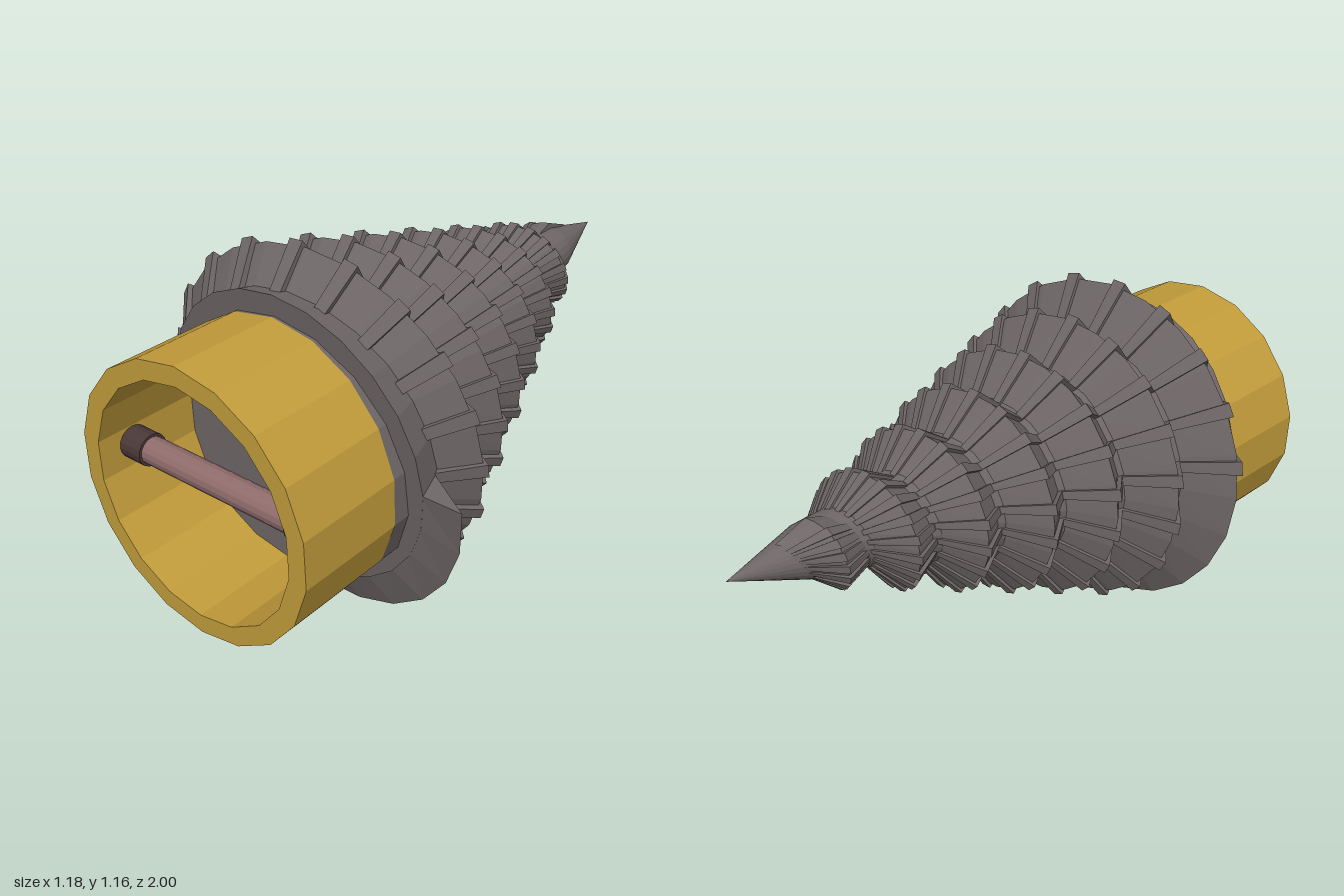
import * as THREE from 'three';

const TURN = Math.PI * 2;
const PITCH = 0.2;
const TURNS = 6.75;
const mat = (color) => new THREE.MeshStandardMaterial({ color, flatShading: true });

// Radii along the drill axis; a is the distance from the base towards the tip.
const coreRadius = (a) => (a < 1.2 ? 0.475 - 0.3125 * a : 0.1 - 0.125 * (a - 1.2));
const crestRadius = (a) => 0.605 - 0.37 * a;

// Sweep a triangular section along the helix, widened by grow.
function addSweep(out, t0, t1, steps, grow) {
  const section = (t) => {
    const a = (PITCH * t) / TURN;
    const front = Math.max(0, a - PITCH / 2 - grow);
    const back = a + PITCH / 2 + grow;
    return [
      [coreRadius(front) - 0.012, front],
      [crestRadius(a) + grow, a],
      [coreRadius(back) - 0.012, back],
    ].map(([r, y]) => [r * Math.cos(t), y, -r * Math.sin(t)]);
  };
  const tri = (...points) => points.forEach((p) => out.push(...p));
  let prev = section(t0);
  tri(prev[0], prev[1], prev[2]);
  for (let i = 1; i <= steps; i++) {
    const next = section(t0 + ((t1 - t0) * i) / steps);
    for (let k = 0; k < 3; k++) {
      const m = (k + 1) % 3;
      tri(prev[k], next[k], next[m]);
      tri(prev[k], next[m], prev[m]);
    }
    prev = next;
  }
  tri(prev[2], prev[1], prev[0]);
}

function sweepMesh(name, positions, material) {
  const geometry = new THREE.BufferGeometry();
  geometry.setAttribute('position', new THREE.Float32BufferAttribute(positions, 3));
  geometry.computeVertexNormals();
  const mesh = new THREE.Mesh(geometry, material);
  mesh.name = name;
  return mesh;
}

export function createModel() {
  const model = new THREE.Group();
  model.name = 'drill';
  const steel = mat(0x6e6666);
  const brass = mat(0xc29c3b);
  const rodPaint = mat(0x8f6c6b);
  const capPaint = mat(0x4a3838);

  const add = (parent, name, geometry, material, x = 0, y = 0, z = 0) => {
    const mesh = new THREE.Mesh(geometry, material);
    mesh.name = name;
    mesh.position.set(x, y, z);
    parent.add(mesh);
    return mesh;
  };
  const lathe = (points, sides) =>
    new THREE.LatheGeometry(points.map(([r, y]) => new THREE.Vector2(r, y)), sides);

  // Drill bit, tilted slightly upwards
  const bit = new THREE.Group();
  bit.name = 'drillBit';
  bit.position.set(-0.02, 0.58, 0.6);
  bit.rotation.x = -Math.PI / 2 + 0.1;
  model.add(bit);

  // Tapered core with pointed tip
  add(bit, 'core', lathe([[0, 0], [0.475, 0], [0.1, 1.2], [0.081, 1.36], [0, 1.608]], 24), steel);

  // Spiral thread
  const thread = [];
  addSweep(thread, 0, TURNS * TURN, Math.round(TURNS * 24), 0);
  bit.add(sweepMesh('thread', thread, steel));

  // Raised ribs across the thread, starting after half a turn
  const ribs = [];
  const spacing = TURN / 19;
  for (let t = (191 / 360) * TURN; t < (TURNS - 0.1) * TURN; t += spacing) {
    const r = crestRadius((PITCH * t) / TURN);
    const half = (0.01 + 0.022 * r) / r;
    addSweep(ribs, t - half, t + half, 1, 0.008 + 0.018 * r);
  }
  bit.add(sweepMesh('threadRibs', ribs, steel));

  // Hub joining the bit to the collar
  const hub = add(model, 'hub', new THREE.CylinderGeometry(0.424, 0.424, 0.16, 18), steel, -0.02, 0.5625, 0.574);
  hub.rotation.x = Math.PI / 2;

  // Open ring collar
  const ring = lathe([[0.365, 0], [0.425, 0], [0.425, 0.35], [0.365, 0.35], [0.365, 0]], 18);
  const collar = add(model, 'collar', ring, brass, -0.02, 0.5625, 0.65);
  collar.rotation.x = Math.PI / 2;

  // Cross handle with end caps
  const handle = new THREE.Group();
  handle.name = 'handle';
  handle.position.set(-0.02, 0.573, 0.88);
  model.add(handle);
  const bar = (name, radius, length, x, material) => {
    add(handle, name, new THREE.CylinderGeometry(radius, radius, length, 16), material, x).rotation.z = Math.PI / 2;
  };
  bar('handleRod', 0.042, 0.6, 0, rodPaint);
  for (const side of [-1, 1]) bar('handleCap', 0.05, 0.087, side * 0.3215, capPaint);

  return model;
}
